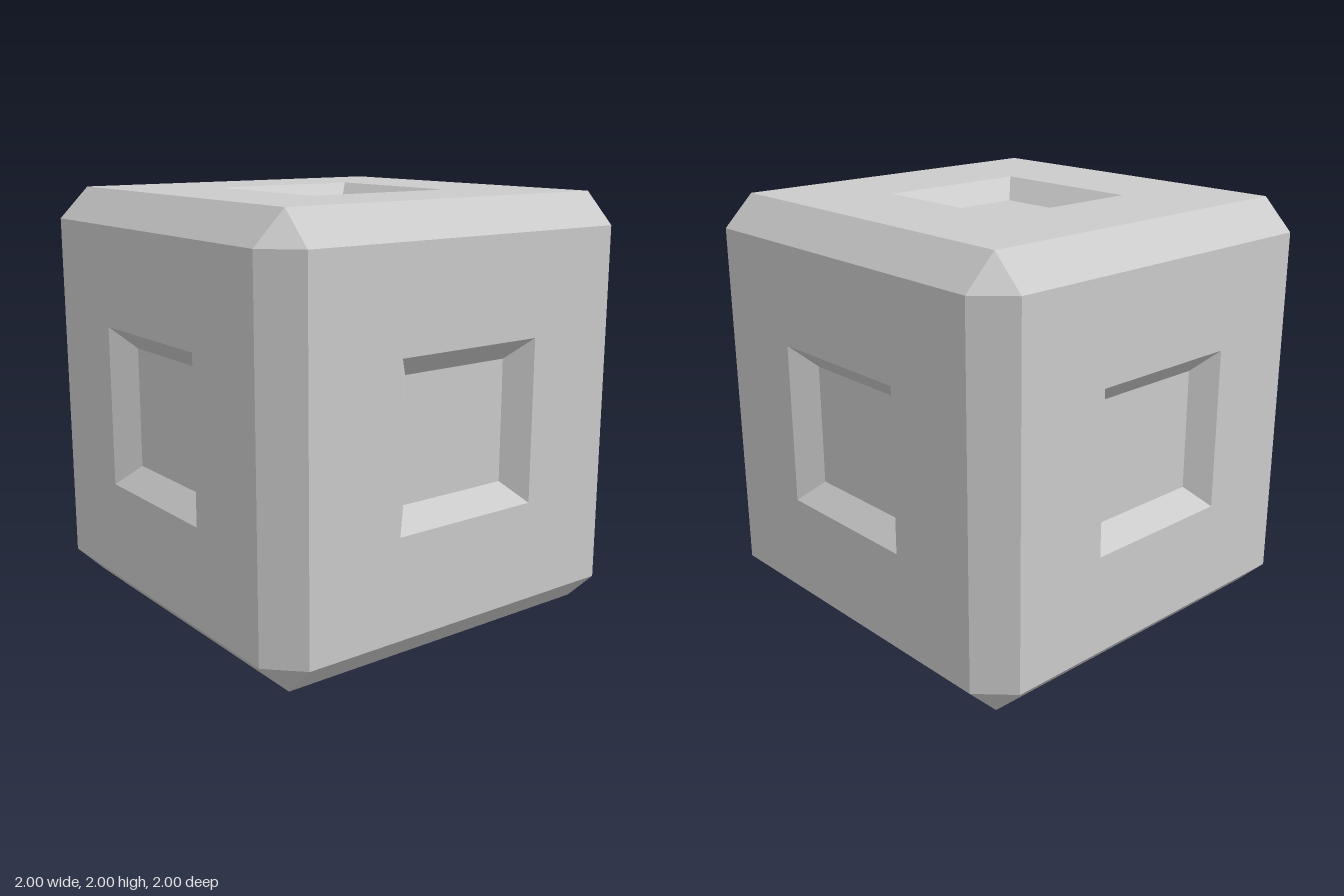
import * as THREE from 'three';

const HALF = 1;        // half size of the cube
const FLAT = 0.852;    // half width of each flat face
const PIT = 0.382;     // half width of the recess opening
const FLOOR = 0.285;   // half width of the recess floor
const DEPTH = 0.098;   // recess depth

export function createModel() {
  const model = new THREE.Group();
  const material = new THREE.MeshStandardMaterial({ color: 0xcccccc, flatShading: true });
  const cube = new THREE.Group();
  cube.name = 'chamferedCube';
  cube.position.y = HALF;
  model.add(cube);

  const add = (parent, geometry, name) => {
    const mesh = new THREE.Mesh(geometry, material);
    mesh.name = name;
    parent.add(mesh);
    return mesh;
  };

  // Square face with a sloped recess: a four-sided lathe, outer edge to centre
  const profile = [[FLAT, HALF], [PIT, HALF], [FLOOR, HALF - DEPTH], [0, HALF - DEPTH]]
    .map(([r, y]) => new THREE.Vector2(r * Math.SQRT2, y));
  const faceGeometry = new THREE.LatheGeometry(profile, 4, Math.PI / 4);
  const q = Math.PI / 2;
  const faces = {
    topFace: [0, 0], frontFace: [q, 0], bottomFace: [2 * q, 0],
    backFace: [-q, 0], rightFace: [0, q], leftFace: [0, -q],
  };
  for (const [name, [rx, rz]] of Object.entries(faces)) {
    add(cube, faceGeometry, name).rotation.set(rx, 0, rz);
  }

  // Chamfer strips: four around each axis
  const strip = new THREE.PlaneGeometry(2 * FLAT, (HALF - FLAT) * Math.SQRT2);
  strip.rotateX(-Math.PI / 4);
  strip.translate(0, (HALF + FLAT) / 2, (HALF + FLAT) / 2);
  for (const [axis, ry, rz] of [['X', 0, 0], ['Y', 0, q], ['Z', q, 0]]) {
    const ring = new THREE.Group();
    ring.name = `edgeChamfers${axis}`;
    ring.rotation.set(0, ry, rz);
    for (let i = 0; i < 4; i++) add(ring, strip, 'edgeChamfer').rotation.x = i * q;
    cube.add(ring);
  }

  // Triangular corner cuts, with the winding flipped on mirrored corners
  for (const x of [-1, 1]) for (const y of [-1, 1]) for (const z of [-1, 1]) {
    const points = [[HALF, FLAT, FLAT], [FLAT, HALF, FLAT], [FLAT, FLAT, HALF]]
      .map(([a, b, c]) => new THREE.Vector3(a * x, b * y, c * z));
    if (x * y * z < 0) points.reverse();
    const corner = new THREE.BufferGeometry().setFromPoints(points);
    corner.computeVertexNormals();
    add(cube, corner, 'cornerCut');
  }

  return model;
}
